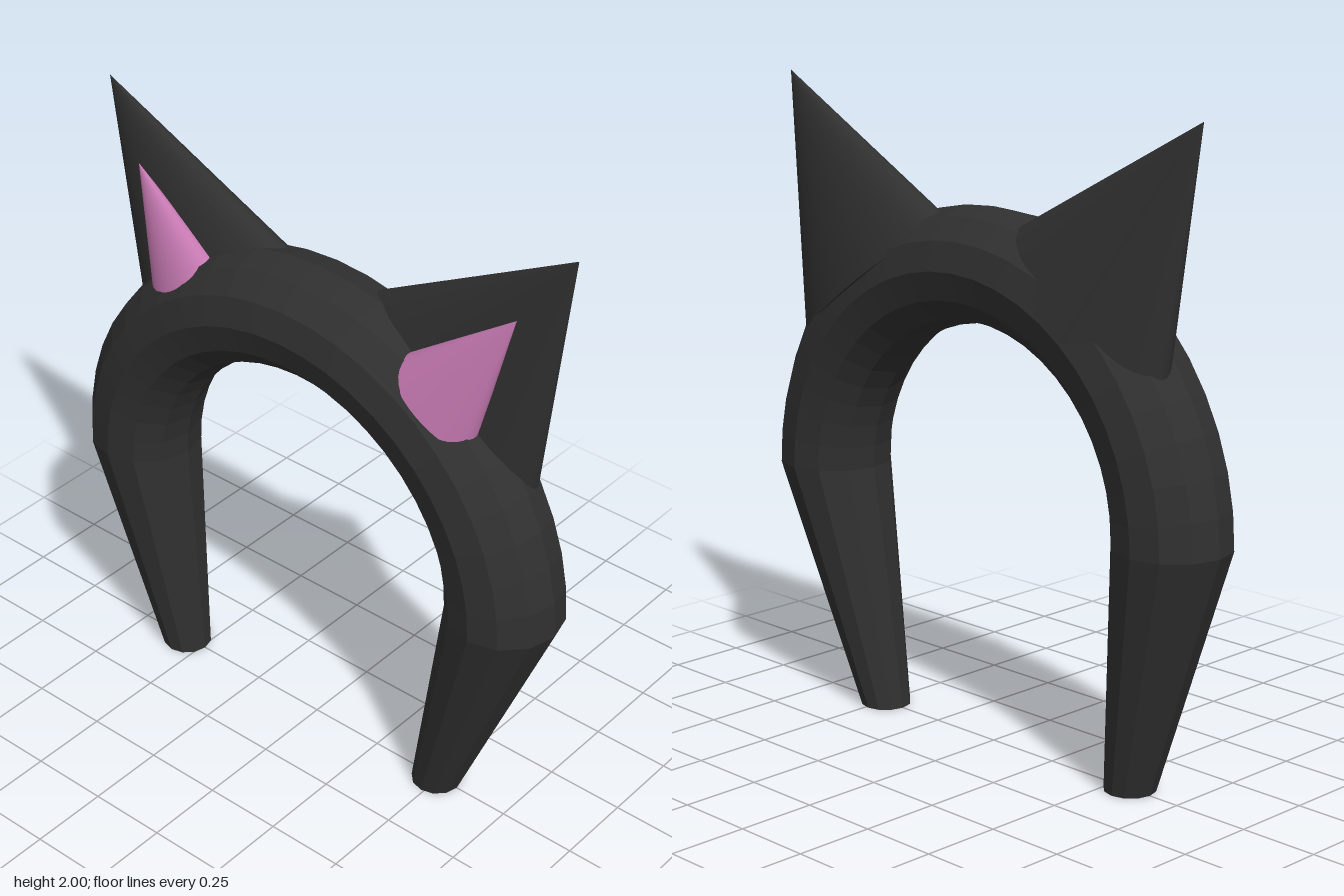
import * as THREE from 'three';

const ARCH_Y = 0.77, ARCH_R = 0.715, TUBE_R = 0.178;

// Flattened cone running from a base centre to an apex, wide across the arch plane.
function flatCone(apex, base, halfThick, halfWide, material, name) {
  const axis = apex.clone().sub(base);
  const across = new THREE.Vector3(1, 0, 0).cross(axis).normalize();
  const geo = new THREE.ConeGeometry(1, 1, 40, 1).translate(0, 0.5, 0);
  geo.applyMatrix4(new THREE.Matrix4()
    .makeBasis(new THREE.Vector3(halfThick, 0, 0), axis, across.multiplyScalar(halfWide))
    .setPosition(base));
  const mesh = new THREE.Mesh(geo, material);
  mesh.name = name;
  return mesh;
}

// Tapered leg whose foot leans inwards from the end of the arch.
function leg(topZ, footZ, material, name) {
  const geo = new THREE.CylinderGeometry(TUBE_R, 0.079, ARCH_Y, 12, 1).translate(0, ARCH_Y / 2, 0);
  const p = geo.attributes.position;
  for (let i = 0; i < p.count; i++) {
    p.setZ(i, p.getZ(i) + THREE.MathUtils.lerp(footZ, topZ, p.getY(i) / ARCH_Y));
  }
  geo.computeVertexNormals();
  const mesh = new THREE.Mesh(geo, material);
  mesh.name = name;
  return mesh;
}

// Outer ear with a smaller pink cone bulging out of its -x face.
function ear(side, dy, dz, furSmooth, pink, name) {
  const group = new THREE.Group();
  group.name = name;
  const at = (x, y, z) => new THREE.Vector3(x, y + dy, side * z + dz);
  const apex = at(0.025, 2.0, 0.875);
  const base = at(0.05, 1.387, 0.449);
  group.add(flatCone(apex, base, 0.127, 0.378, furSmooth, 'outerEar'));
  group.add(flatCone(at(-0.025, 1.78, 0.722), at(-0.062, 1.43, 0.48), 0.085, 0.168, pink, 'innerEar'));
  return group;
}

export function createModel() {
  const model = new THREE.Group();
  model.name = 'earHeadband';

  const band = new THREE.MeshStandardMaterial({ color: 0x303030, flatShading: true });
  band.name = 'charcoal';
  const earFur = band.clone();
  earFur.flatShading = false;
  earFur.name = 'charcoalSmooth';
  const pink = new THREE.MeshStandardMaterial({ color: 0xc478b0 });
  pink.name = 'pink';

  // Half-ring over the head
  const arch = new THREE.Mesh(
    new THREE.TorusGeometry(ARCH_R, TUBE_R, 12, 24, Math.PI).rotateY(Math.PI / 2), band);
  arch.position.y = ARCH_Y;
  arch.name = 'arch';
  model.add(arch);

  // Legs
  model.add(leg(ARCH_R, 0.49, band, 'frontLeg'));
  model.add(leg(-ARCH_R, -0.567, band, 'backLeg'));

  // Ears, the back one seated slightly deeper
  model.add(ear(1, 0, 0, earFur, pink, 'frontEar'));
  model.add(ear(-1, -0.015, 0.05, earFur, pink, 'backEar'));

  return model;
}
